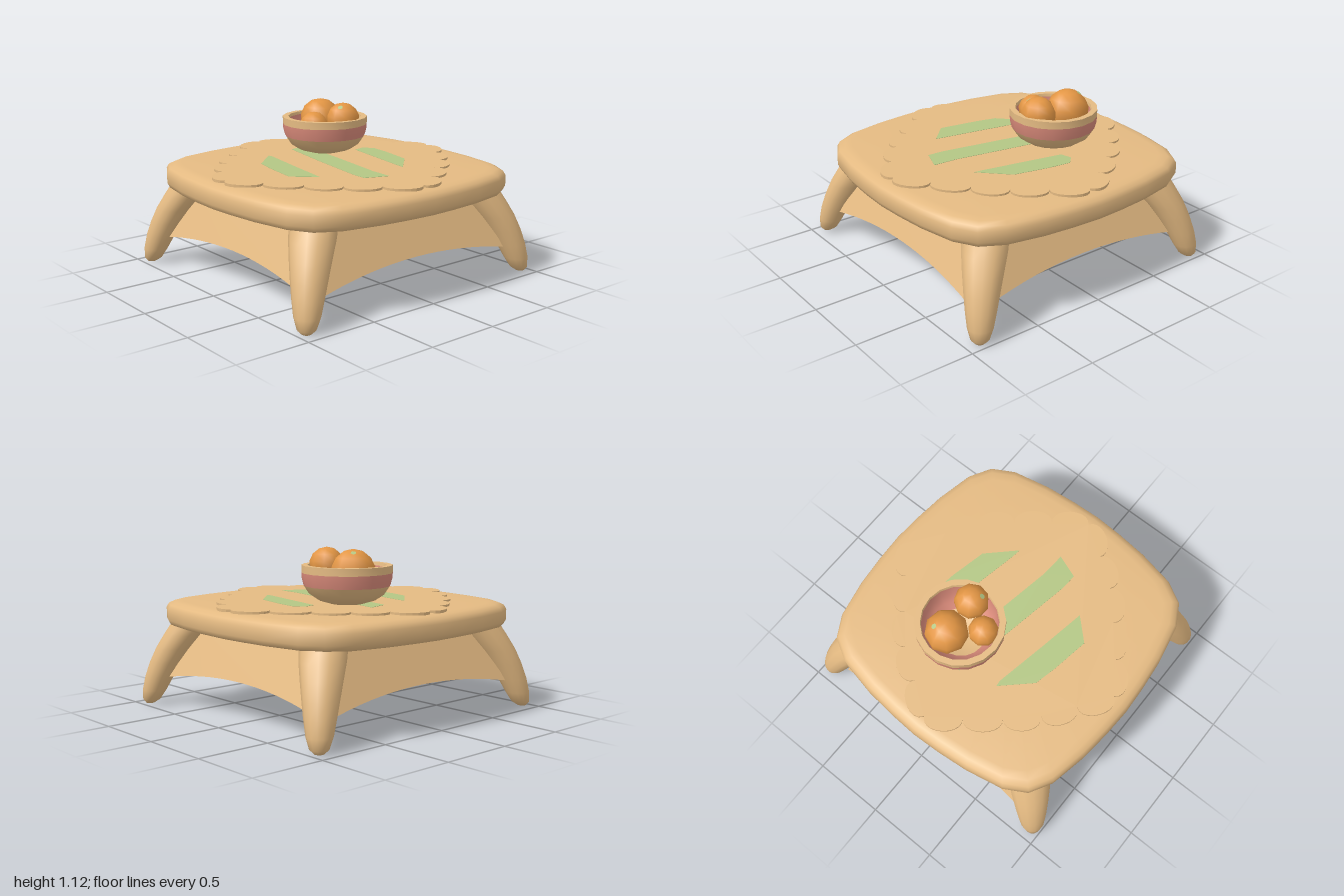
import * as THREE from 'three';
import { toCreasedNormals } from 'three/addons/utils/BufferGeometryUtils.js';

// Closed-ring loft: rings run upwards on the outside, points turn from +x to +z
function loft(rings, crease) {
  const n = rings[0].length, pos = [], idx = [];
  rings.forEach(r => r.forEach(p => pos.push(...p)));
  for (let i = 0; i < rings.length - 1; i++) for (let j = 0; j < n; j++) {
    const a = i * n + j, b = i * n + (j + 1) % n;
    idx.push(a, a + n, b, b, a + n, b + n);
  }
  const g = new THREE.BufferGeometry();
  g.setAttribute('position', new THREE.Float32BufferAttribute(pos, 3));
  g.setIndex(idx);
  return toCreasedNormals(g, crease);
}

// Repeat a quarter outline four times around the origin
function fourfold(quarter) {
  const out = [];
  for (let k = 0; k < 4; k++) {
    out.push(...quarter);
    quarter = quarter.map(([x, z]) => [-z, x]);
  }
  return out;
}

export function createModel() {
  const model = new THREE.Group();
  const mat = (name, color) => {
    const m = new THREE.MeshStandardMaterial({ color });
    m.name = name;
    return m;
  };
  const wood = mat('tan wood', 0xe4ba82), pink = mat('pink glaze', 0xd98a7a);
  const orange = mat('orange peel', 0xe39644), green = mat('soft green', 0xb3c684);
  const add = (name, geo, material, parent = model) => {
    const m = new THREE.Mesh(geo, material);
    m.name = name;
    parent.add(m);
    return m;
  };

  // Table top: pillowy rounded square, hollow underneath
  const outline = fourfold([[1, 0], [0.99, 0.2], [0.968, 0.42], [0.915, 0.68], [0.83, 0.83],
    [0.68, 0.915], [0.42, 0.968], [0.2, 0.99]]);
  const section = [[0.001, 0.715], [0.68, 0.715], [0.68, 0.567], [0.95, 0.567], [0.985, 0.578],
    [1, 0.61], [1, 0.68], [0.985, 0.71], [0.95, 0.728], [0.9, 0.734], [0.6, 0.738], [0.001, 0.738]];
  add('tableTop', loft(section.map(([s, y]) => outline.map(([x, z]) => [x * s, y, z * s])), 0.9), wood);

  // Legs: tapered and curving outwards to the corners [y, centre, radius]
  const legRings = [[0, 0.9, 0.001], [0.005, 0.9, 0.03], [0.03, 0.893, 0.06], [0.1, 0.877, 0.083],
    [0.2, 0.85, 0.1], [0.3, 0.815, 0.115], [0.4, 0.773, 0.13], [0.5, 0.72, 0.145], [0.58, 0.68, 0.15]];
  for (const sx of [-1, 1]) for (const sz of [-1, 1]) {
    const rings = legRings.map(([y, c, r]) => Array.from({ length: 14 }, (_, i) => {
      const a = i / 14 * Math.PI * 2;
      return [sx * c + r * Math.cos(a), y, sz * c * 1.042 + r * Math.sin(a)];
    }));
    add((sz > 0 ? 'front' : 'back') + (sx > 0 ? 'Left' : 'Right') + 'Leg', loft(rings, 1.2), wood);
  }

  // Arched skirts between the legs, leaning outwards with them
  const skirt = new THREE.Shape();
  skirt.moveTo(-0.66, 0.575);
  skirt.lineTo(-0.78, 0.195);
  skirt.quadraticCurveTo(0, 0.35, 0.78, 0.195);
  skirt.lineTo(0.66, 0.575);
  const skirtGeo = new THREE.ExtrudeGeometry(skirt, { depth: 0.01, bevelEnabled: false, curveSegments: 16 });
  skirtGeo.applyMatrix4(new THREE.Matrix4().set(1, 0, 0, 0, 0, 1, 0, 0, 0, -0.48, 1, 0.96, 0, 0, 0, 1));
  for (let k = 0; k < 4; k++) add('skirt', skirtGeo, wood).rotation.y = k * Math.PI / 2;

  // Scalloped table mat: one outward curve per lobe
  const valleys = fourfold([[0.885, 0], [0.735, 0.205], [0.595, 0.405], [0.41, 0.57], [0.205, 0.735]]);
  const matShape = new THREE.Shape();
  matShape.moveTo(...valleys[0]);
  valleys.forEach(([x, z], i) => {
    const [u, v] = valleys[(i + 1) % valleys.length];
    const dx = u - x, dz = v - z, k = 0.125 / Math.hypot(dx, dz);
    matShape.bezierCurveTo(x + dz * k - dx * 0.05, z - dx * k - dz * 0.05,
      u + dz * k + dx * 0.05, v - dx * k + dz * 0.05, u, v);
  });
  const flat = (shape, depth, top) => {
    const g = new THREE.ExtrudeGeometry(shape, { depth, bevelEnabled: false, curveSegments: 10 });
    return g.rotateX(Math.PI / 2).translate(0, top, 0);
  };
  add('scallopedMat', flat(matShape, 0.02, 0.75), wood);

  // Green stripes on the mat
  const stripes = [
    [[-0.22, -0.45], [-0.16, -0.51], [0, -0.49], [0.25, -0.435], [0.43, -0.25], [0.36, -0.26], [-0.2, -0.37]],
    [[-0.54, -0.17], [-0.05, -0.09], [0.4, -0.01], [0.57, 0], [0.51, 0.16], [0.4, 0.155], [-0.07, 0.07], [-0.5, -0.02]],
    [[-0.43, 0.24], [-0.39, 0.235], [0, 0.31], [0.31, 0.365], [0.17, 0.51], [-0.1, 0.465], [-0.25, 0.43]],
  ];
  for (const s of stripes) {
    add('matStripe', flat(new THREE.Shape(s.map(p => new THREE.Vector2(...p))), 0.003, 0.752), green);
  }

  // Bowl in bands, each turned from its own profile
  const bowl = new THREE.Group();
  bowl.name = 'bowl';
  bowl.position.set(-0.3, 0, -0.165);
  model.add(bowl);
  const band = (name, pts, material) => add(name,
    toCreasedNormals(new THREE.LatheGeometry(pts.map(p => new THREE.Vector2(...p)), 18), 0.7), material, bowl);
  band('bowlBase', [[0, 0.753], [0.11, 0.756], [0.19, 0.78], [0.25, 0.82], [0.285, 0.875]], wood);
  band('bowlBand', [[0.285, 0.875], [0.297, 0.92], [0.3, 0.96]], pink);
  band('bowlRim', [[0.3, 0.96], [0.3, 1.01], [0.26, 1.01], [0.255, 0.99]], wood);
  band('bowlInside', [[0.255, 0.99], [0.245, 0.92], [0.215, 0.86], [0.17, 0.82]], pink);
  band('bowlFloor', [[0.17, 0.82], [0.1, 0.795], [0, 0.79]], wood);

  // Faceted oranges, two of them showing a small green stem mark
  const fruit = [
    [-0.395, 0.973, -0.2, 0.147, [-0.055, 0.125, -0.05]],
    [-0.14, 1.002, -0.2, 0.118, [0.04, 0.09, 0.055]],
    [-0.24, 0.96, -0.02, 0.102, null],
  ];
  fruit.forEach(([x, y, z, r, stem], i) => {
    const g = new THREE.Group();
    g.name = 'orange' + (i + 1);
    g.position.set(x, y, z);
    model.add(g);
    add('orangeBody', new THREE.SphereGeometry(r, 9, 7), orange, g).rotation.y = i * 0.5;
    if (!stem) return;
    const n = new THREE.Vector3(...stem).normalize();
    const dot = add('orangeStem', new THREE.CircleGeometry(0.018, 8), green, g);
    dot.position.copy(n).multiplyScalar(r + 0.001);
    dot.quaternion.setFromUnitVectors(new THREE.Vector3(0, 0, 1), n);
  });
  return model;
}
